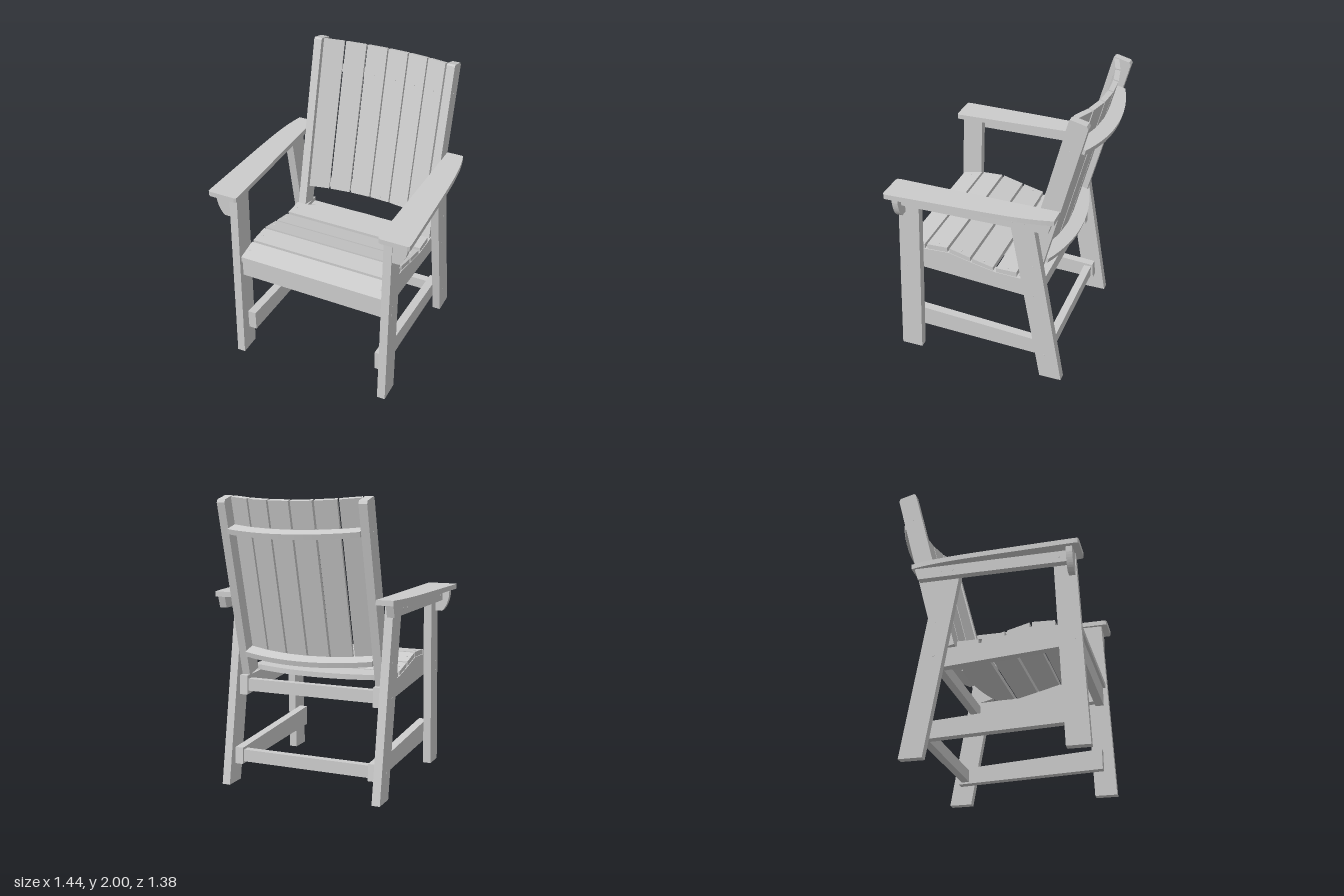
import * as THREE from 'three';

const material = new THREE.MeshStandardMaterial({ color: 0xcccccc });

function makeMesh(name, geometry, parent) {
  const mesh = new THREE.Mesh(geometry, material);
  mesh.name = name;
  parent.add(mesh);
  return mesh;
}

function extrude(points, depth) {
  const shape = new THREE.Shape(points.map(([a, b]) => new THREE.Vector2(a, b)));
  return new THREE.ExtrudeGeometry(shape, { depth, bevelEnabled: false });
}

// Side profile of [z, y] points, spanning x0..x1
function sideBoard(points, x0, x1) {
  return extrude(points, x1 - x0).rotateY(-Math.PI / 2).translate(x1, 0, 0);
}

// Plan outline of [x, z] points, spanning y0..y1
function planBoard(points, y0, y1) {
  return extrude(points.map(([x, z]) => [x, -z]), y1 - y0).rotateX(-Math.PI / 2).translate(0, y0, 0);
}

function box(name, x0, x1, y0, y1, z0, z1, parent) {
  const g = new THREE.BoxGeometry(x1 - x0, y1 - y0, z1 - z0);
  g.translate((x0 + x1) / 2, (y0 + y1) / 2, (z0 + z1) / 2);
  return makeMesh(name, g, parent);
}

// Small screw head with its axis along 'x', 'y' or 'z'
function screw(x, y, z, axis, parent) {
  const g = new THREE.CylinderGeometry(0.007, 0.007, 0.004, 10);
  if (axis === 'x') g.rotateZ(Math.PI / 2);
  if (axis === 'z') g.rotateX(Math.PI / 2);
  makeMesh('screw', g.translate(x, y, z), parent);
}

function arcPoints(fn, n = 16) {
  return Array.from({ length: n + 1 }, (_, i) => fn(i / n));
}

function buildSide(s, chair) {
  const side = new THREE.Group();
  side.name = s > 0 ? 'leftSide' : 'rightSide';
  chair.add(side);
  const board = (name, points, a, b) =>
    makeMesh(name, sideBoard(points, Math.min(s * a, s * b), Math.max(s * a, s * b)), side);

  // Legs
  board('frontLeg', [[0.53, 0], [0.684, 0], [0.63, 1.31], [0.482, 1.31]], 0.53, 0.588);
  board('rearLeg', [[-0.53, 0], [-0.373, 0], [-0.145, 1.31], [-0.305, 1.31]], 0.53, 0.588);

  // Lower stretcher and seat rail inside the legs
  board('sideStretcher', [[0.6, 0.175], [0.6, 0.32], [-0.44, 0.25], [-0.45, 0.135]], 0.47, 0.53);
  board('seatRail', [[0.56, 0.685], [0.56, 0.81], [0.48, 0.835], [0.31, 0.842], [0.15, 0.802],
    [-0.02, 0.765], [-0.19, 0.757], [-0.36, 0.75], [-0.37, 0.615]], 0.47, 0.53);

  // Arm rail outside the legs, and the curved bracket ahead of it
  board('armRail', [[0.585, 1.23], [0.585, 1.31], [-0.455, 1.31], [-0.43, 1.23]], 0.588, 0.64);
  const curve = new THREE.QuadraticBezierCurve(
    new THREE.Vector2(0.69, 1.27), new THREE.Vector2(0.68, 1.19), new THREE.Vector2(0.637, 1.15));
  const bracket = [[0.588, 1.15], [0.588, 1.31], [0.69, 1.31],
    ...curve.getPoints(8).map(p => [p.x, p.y])].map(([x, y]) => [s * x, y]);
  makeMesh('armBracket', extrude(bracket, 0.042).translate(0, 0, 0.585), side);

  // Arm board with bowed outer edge
  const outer = new THREE.SplineCurve([[0.648, -0.475], [0.672, -0.36], [0.69, -0.2], [0.701, 0],
    [0.711, 0.3], [0.722, 0.65]].map(p => new THREE.Vector2(...p)));
  const arm = [[0.527, -0.475], ...outer.getPoints(20).map(p => [p.x, p.y]),
    [0.719, 0.668], [0.705, 0.675], [0.525, 0.675], [0.51, 0.668], [0.506, 0.65], [0.525, -0.18]];
  makeMesh('armBoard', planBoard(arm.map(([x, z]) => [s * x, z]), 1.31, 1.345), side);

  // Screw heads on the outside
  [[0.6, 0.77], [0.605, 0.7], [-0.32, 0.68], [-0.32, 0.915], [-0.405, 0.19]]
    .forEach(([z, y]) => screw(s * 0.588, y, z, 'x', side));
  [0.53, -0.19, -0.27].forEach(z => screw(s * 0.64, 1.27, z, 'x', side));
}

function buildSeat(chair) {
  const seat = new THREE.Group();
  seat.name = 'seat';
  chair.add(seat);
  const t = 0.036;
  // Slats as [back z, back y, front z, front y] of the top face
  [[-0.01, 0.795, 0.14, 0.832], [0.156, 0.836, 0.305, 0.876],
    [0.322, 0.878, 0.472, 0.873], [0.49, 0.87, 0.64, 0.838]].forEach(([z0, y0, z1, y1]) => {
    makeMesh('seatSlat', sideBoard([[z0, y0 - t], [z1, y1 - t], [z1, y1], [z0, y0]], -0.525, 0.525), seat);
    for (const x of [-0.495, 0.495]) screw(x, (y0 + y1) / 2, (z0 + z1) / 2, 'y', seat);
  });
  // Rear slat with an arched back edge
  const arch = arcPoints(u => {
    const x = 0.45 - 0.9 * u;
    return [x, -0.18 - 0.08 * (1 - (x / 0.45) ** 2)];
  });
  makeMesh('rearSeatSlat', planBoard([[-0.525, -0.18], [-0.525, -0.035], [0.525, -0.035],
    [0.525, -0.18], ...arch], 0.76, 0.796), seat);
  for (const x of [-0.495, 0.495]) screw(x, 0.796, -0.108, 'y', seat);
}

function buildBack(chair) {
  // Local frame: y runs up the reclined back, z points out of its front
  const back = new THREE.Group();
  back.name = 'backrest';
  back.position.set(0, 0.9, -0.33);
  back.rotation.x = -0.253;
  chair.add(back);
  const R = 1.22, step = 0.129, length = 1.11, t = 0.035;

  // Six slats set around an arc
  for (let i = 0; i < 6; i++) {
    const a = (i - 2.5) * step;
    const slat = new THREE.Group();
    slat.name = 'backSlat';
    slat.position.set(R * Math.sin(a), 0, R - R * Math.cos(a));
    slat.rotation.y = -a;
    back.add(slat);
    box('slatBoard', -0.074, 0.074, 0, length, -t, 0, slat);
    screw(0, 0.025, 0, 'z', slat);
    screw(0, 0.9, 0, 'z', slat);
  }

  // Curved cross rails behind the slats
  const arc = (r, x) => [x, R - Math.sqrt(r * r - x * x)];
  const outline = [...arcPoints(u => arc(R + t, -0.47 + 0.94 * u)),
    ...arcPoints(u => arc(R + 0.135, 0.47 - 0.94 * u))];
  for (const y of [0.003, 0.885]) makeMesh('curvedBackRail', planBoard(outline, y, y + 0.036), back);

  // Posts with chamfered tops
  const post = [[-0.033, -0.15], [0.095, -0.15], [0.095, 1.1], [0.085, 1.112],
    [-0.018, 1.112], [-0.033, 1.095]];
  for (const s of [-1, 1]) {
    makeMesh('backPost', sideBoard(post, s * 0.5 - 0.029, s * 0.5 + 0.029), back);
    screw(s * 0.529, 0.9, 0.03, 'x', back);
  }
}

export function createModel() {
  const chair = new THREE.Group();
  chair.name = 'armchair';
  for (const s of [-1, 1]) buildSide(s, chair);
  buildSeat(chair);
  buildBack(chair);
  // Cross members
  box('frontApron', -0.53, 0.53, 0.67, 0.805, 0.56, 0.62, chair);
  box('rearSeatBar', -0.47, 0.47, 0.64, 0.725, -0.35, -0.295, chair);
  box('rearStretcher', -0.47, 0.47, 0.15, 0.235, -0.43, -0.375, chair);
  return chair;
}
